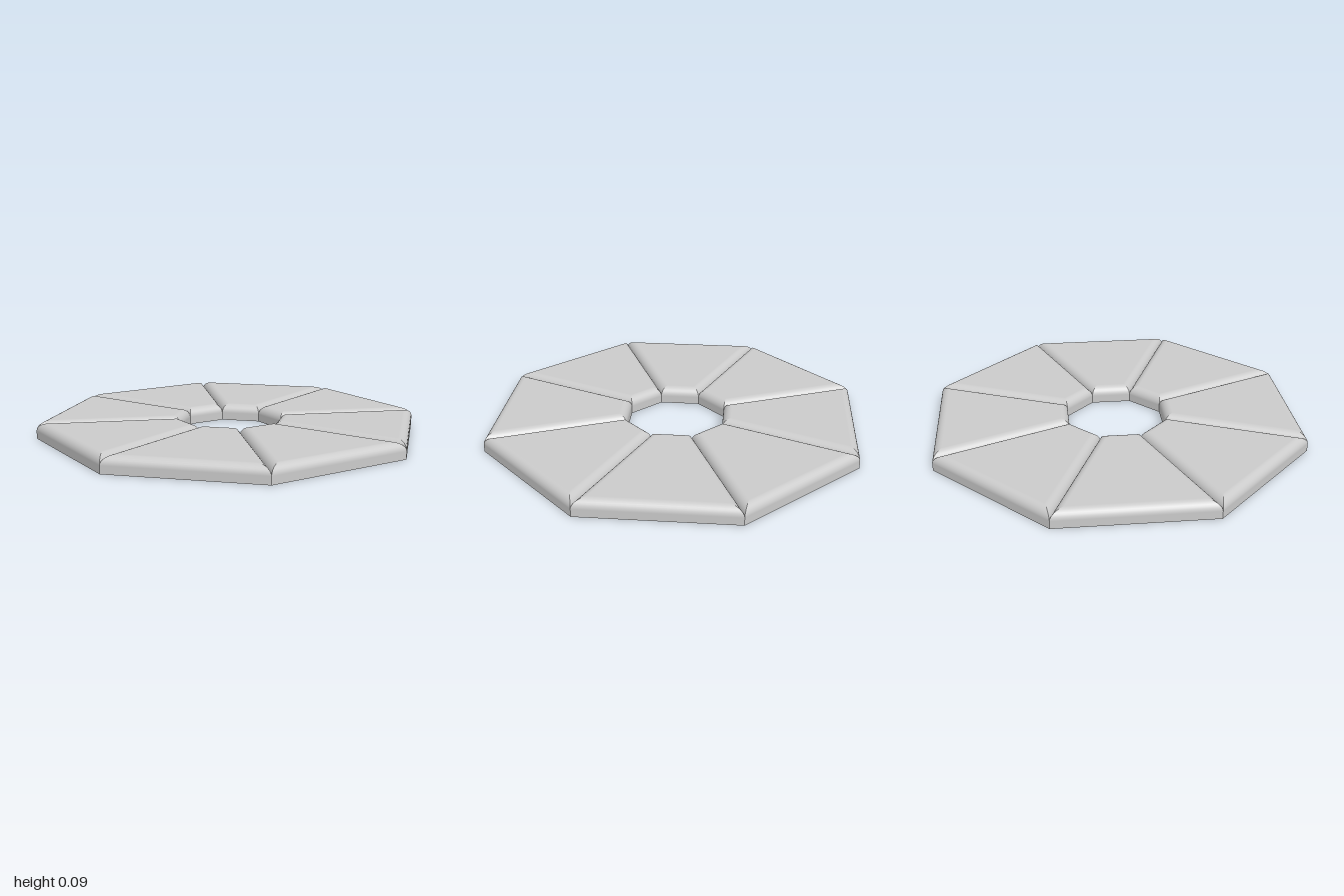
import * as THREE from 'three';

const SIDES = 8, INNER = 0.267, OUTER = 1, HEIGHT = 0.085, ROUND = 0.045, STEPS = 8;

// One trapezoid wedge: flat base, straight walls and a rounded, mitred top edge
function wedgeGeometry() {
  const step = (Math.PI * 2) / SIDES;
  const at = (r, a) => new THREE.Vector2(r * Math.cos(a), r * Math.sin(a));
  const corners = [at(INNER, 0), at(OUTER, 0), at(OUTER, step), at(INNER, step)];
  const outward = corners.map((c, i) => {
    const d = corners[(i + 1) % 4].clone().sub(c).normalize();
    return new THREE.Vector2(d.y, -d.x);
  });
  // Moves every edge inwards by the same distance
  const inset = (dist) => corners.map((c, i) => {
    const n = outward[i], m = outward[(i + 3) % 4];
    return c.clone().addScaledVector(n.clone().add(m), -dist / (1 + n.dot(m)));
  });

  // Wall profile: y, inset, and the tilt of the normal
  const profile = [{ y: 0, loop: inset(0), tilt: 0 }];
  for (let k = 0; k <= STEPS; k++) {
    const tilt = (k / STEPS) * Math.PI / 2;
    profile.push({
      y: HEIGHT - ROUND + ROUND * Math.sin(tilt),
      loop: inset(ROUND * (1 - Math.cos(tilt))),
      tilt,
    });
  }

  const positions = [], normals = [], index = [];
  const add = (p, y, nx, ny, nz) => {
    positions.push(p.x, y, -p.y);
    normals.push(nx, ny, nz);
  };

  // Four walls, each smooth from base to top and creased at the corners
  for (let i = 0; i < 4; i++) {
    const base = positions.length / 3, n = outward[i];
    profile.forEach(({ y, loop, tilt }, k) => {
      const c = Math.cos(tilt), s = Math.sin(tilt);
      add(loop[i], y, n.x * c, s, -n.y * c);
      add(loop[(i + 1) % 4], y, n.x * c, s, -n.y * c);
      if (k > 0) {
        const b = base + (k - 1) * 2;
        index.push(b, b + 1, b + 3, b, b + 3, b + 2);
      }
    });
  }

  // Flat top and base
  const top = positions.length / 3;
  profile[profile.length - 1].loop.forEach((p) => add(p, HEIGHT, 0, 1, 0));
  corners.forEach((p) => add(p, 0, 0, -1, 0));
  index.push(top, top + 1, top + 2, top, top + 2, top + 3);
  index.push(top + 4, top + 6, top + 5, top + 4, top + 7, top + 6);

  const geometry = new THREE.BufferGeometry();
  geometry.setAttribute('position', new THREE.Float32BufferAttribute(positions, 3));
  geometry.setAttribute('normal', new THREE.Float32BufferAttribute(normals, 3));
  geometry.setIndex(index);
  return geometry;
}

export function createModel() {
  const model = new THREE.Group();
  model.name = 'octagonalRing';
  const material = new THREE.MeshStandardMaterial({ color: 0xcccccc });
  const geometry = wedgeGeometry();

  // Ring of equal wedges around the open centre
  for (let i = 0; i < SIDES; i++) {
    const wedge = new THREE.Mesh(geometry, material);
    wedge.name = `wedge${i + 1}`;
    wedge.rotation.y = (i * Math.PI * 2) / SIDES;
    model.add(wedge);
  }
  return model;
}
